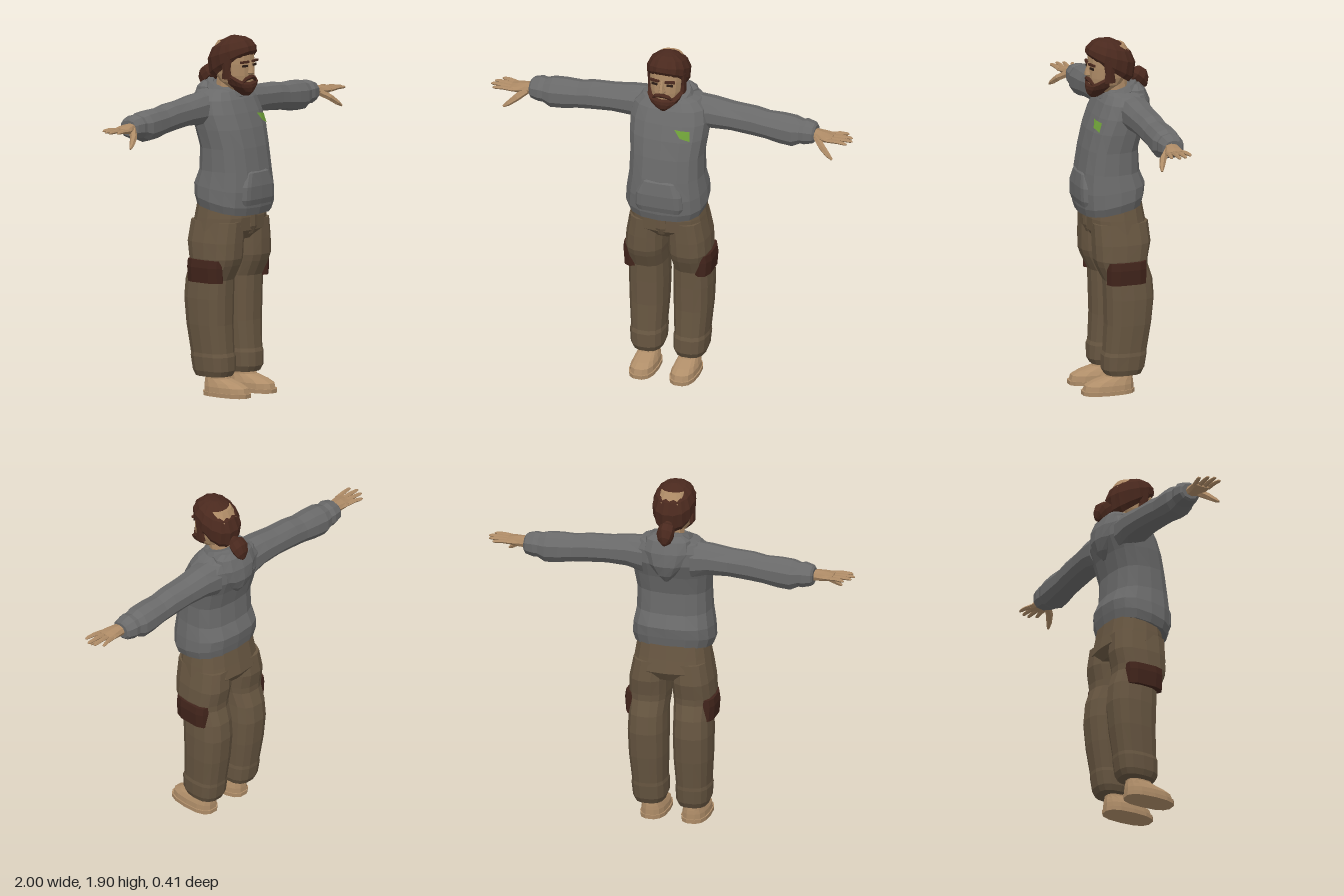
import * as THREE from 'three';

const mat = (name, color) => {
  const m = new THREE.MeshStandardMaterial({ color });
  m.name = name;
  return m;
};

// Closed ring of points: centre c, half-axes u and v, n corners, p = boxiness, ridge = alternating bulge
function ring(c, u, v, n = 16, p = 2.6, ridge = 0) {
  const pw = (k) => Math.sign(k) * Math.pow(Math.abs(k), 2 / p);
  return Array.from({ length: n }, (_, i) => {
    const t = (i / n) * Math.PI * 2;
    const k = 1 + (i % 2 ? -ridge : ridge);
    const a = pw(Math.cos(t)) * k, b = pw(Math.sin(t)) * k;
    return [0, 1, 2].map((j) => c[j] + a * u[j] + b * v[j]);
  });
}

// Horizontal ring given by its front and back z; dy lifts the front and lowers the back
const level = (y, cx, rx, zf, zb, dy = 0, n = 16, p = 2.6, ridge = 0) =>
  ring([cx, y, (zf + zb) / 2], [rx, 0, 0], [0, dy, (zf - zb) / 2], n, p, ridge);

// Faceted, capped skin over rings; side = -1 mirrors it to the other half
function loft(rings, side = 1) {
  const tris = [];
  const n = rings[0].length;
  const mid = (r) => [0, 1, 2].map((j) => r.reduce((s, q) => s + q[j], 0) / r.length);
  const first = rings[0], last = rings[rings.length - 1];
  const c0 = mid(first), c1 = mid(last);
  for (let i = 0; i < n; i++) {
    const k = (i + 1) % n;
    for (let r = 0; r + 1 < rings.length; r++) {
      const a = rings[r][i], b = rings[r][k], c = rings[r + 1][k], d = rings[r + 1][i];
      tris.push([a, b, c], [a, c, d]);
    }
    tris.push([c0, first[k], first[i]], [c1, last[i], last[k]]);
  }
  const pts = tris.map((t) => t.map((q) => new THREE.Vector3(q[0] * side, q[1], q[2])));
  const origin = new THREE.Vector3(c0[0] * side, c0[1], c0[2]);
  let volume = 0;
  for (const [a, b, c] of pts) {
    volume += a.clone().sub(origin).dot(b.clone().sub(origin).cross(c.clone().sub(origin)));
  }
  if (volume < 0) pts.forEach((t) => t.reverse());
  const g = new THREE.BufferGeometry().setFromPoints(pts.flat());
  g.computeVertexNormals();
  return g;
}

// Tapered limb through points [x, y, z, radius]
function limb(path, n = 6, flat = 1) {
  return path.map((q, i) => {
    const a = path[Math.max(i - 1, 0)], b = path[Math.min(i + 1, path.length - 1)];
    const d = new THREE.Vector3(b[0] - a[0], b[1] - a[1], b[2] - a[2]).normalize();
    const up = Math.abs(d.y) > 0.9 ? new THREE.Vector3(1, 0, 0) : new THREE.Vector3(0, 1, 0);
    const u = d.clone().cross(up).normalize();
    const v = u.clone().cross(d).multiplyScalar(q[3] * flat);
    return ring(q.slice(0, 3), u.multiplyScalar(q[3]).toArray(), v.toArray(), n, 2);
  });
}

export function createModel() {
  const grey = mat('hoodie grey', 0x6a6a6a);
  const brown = mat('trouser brown', 0x675641);
  const leather = mat('pocket brown', 0x41241b);
  const hair = mat('hair brown', 0x4a291e);
  const skin = mat('skin', 0xae8b66);
  const tan = mat('shoe tan', 0xb08e69);
  const green = mat('badge green', 0x6ea038);
  const dark = mat('eye dark', 0x2b1c15);

  const model = new THREE.Group();
  model.name = 'standingMan';
  const add = (name, geometry, material, parent = model) => {
    const m = new THREE.Mesh(geometry, material);
    m.name = name;
    parent.add(m);
    return m;
  };
  const flat = (g) => {
    const f = g.index ? g.toNonIndexed() : g;
    f.computeVertexNormals();
    return f;
  };

  // Hoodie body: y, half width, front z, back z, hem tilt
  add('hoodieBody', loft([
    [0.995, 0.205, 0.18, -0.145, -0.03], [1.04, 0.22, 0.192, -0.155, -0.035],
    [1.11, 0.215, 0.197, -0.162, -0.02], [1.2, 0.2, 0.185, -0.132, 0],
    [1.32, 0.198, 0.165, -0.125, 0], [1.42, 0.21, 0.14, -0.15, 0],
    [1.5, 0.215, 0.11, -0.18, 0], [1.57, 0.2, 0.078, -0.178, 0],
    [1.61, 0.16, 0.05, -0.165, 0], [1.63, 0.09, 0.03, -0.14, 0],
  ].map(([y, rx, f, b, dy]) => level(y, 0, rx, f, b, dy))), grey);

  // Belly pouch
  add('pouch', loft([
    [1.02, 0.125, 0.192], [1.05, 0.135, 0.201], [1.12, 0.13, 0.203], [1.19, 0.095, 0.192], [1.2, 0.09, 0.18],
  ].map(([y, rx, f]) => level(y, 0, rx, f, 0.05, 0, 16, 5))), grey);

  // Collar: a low-sided hoop, dropping towards the throat
  const collar = new THREE.TorusGeometry(0.088, 0.03, 6, 16);
  collar.rotateX(Math.PI / 2);
  const cp = collar.attributes.position;
  for (let i = 0; i < cp.count; i++) {
    cp.setXYZ(i, cp.getX(i), cp.getY(i) + 1.615 - cp.getZ(i) * 0.3, cp.getZ(i) * 0.92 - 0.035);
  }
  add('collar', flat(collar), grey);

  // Hood hanging down the back
  add('hood', loft([
    [1.655, 0.085, -0.09, -0.145], [1.63, 0.12, -0.05, -0.172], [1.57, 0.13, -0.04, -0.198],
    [1.5, 0.1, -0.05, -0.205], [1.44, 0.055, -0.06, -0.185], [1.4, 0.015, -0.08, -0.155],
  ].map(([y, rx, f, b]) => level(y, 0, rx, f, b, 0, 12, 2.4))), grey);

  // Chest badge, folded over the chest
  const [A, M, B, C, N] = [[0.065, 1.49, 0.118], [0.1, 1.485, 0.116], [0.145, 1.48, 0.101],
    [0.15, 1.43, 0.117], [0.1, 1.447, 0.131]].map((q) => new THREE.Vector3(...q));
  add('chestBadge', flat(new THREE.BufferGeometry().setFromPoints([A, N, M, M, N, B, N, C, B])), green);

  // Hips
  add('hips', loft([
    [1.06, 0.185, 0.13, -0.14], [0.95, 0.203, 0.15, -0.16], [0.88, 0.213, 0.147, -0.174], [0.83, 0.17, 0.1, -0.14],
  ].map(([y, rx, f, b]) => level(y, 0, rx, f, b))), brown);
  add('fly', loft([
    [0.98, 0.03, 0.158], [0.9, 0.032, 0.157], [0.86, 0.02, 0.14],
  ].map(([y, rx, f]) => level(y, 0, rx, f, 0.05, 0, 8, 5))), brown);

  for (const s of [1, -1]) {
    const tag = s > 0 ? 'left' : 'right';

    // Sleeve and cuff: x, y, half height, half depth
    const sleeve = (rows) => loft(rows.map(([x, y, ry, rz]) =>
      ring([x, y, -0.075], [0, ry, 0], [0, 0, rz], 10, 2.3)), s);
    add(tag + 'Sleeve', sleeve([
      [0.13, 1.515, 0.1, 0.09], [0.22, 1.525, 0.083, 0.086], [0.33, 1.52, 0.073, 0.08],
      [0.45, 1.512, 0.076, 0.076], [0.52, 1.502, 0.073, 0.074], [0.6, 1.495, 0.081, 0.079],
      [0.67, 1.49, 0.081, 0.08], [0.72, 1.495, 0.06, 0.064],
    ]), grey);
    add(tag + 'Cuff', sleeve([
      [0.7, 1.495, 0.062, 0.066], [0.735, 1.497, 0.066, 0.071], [0.78, 1.497, 0.054, 0.06], [0.79, 1.497, 0.042, 0.048],
    ]), grey);

    // Hand with four fingers and a thumb
    const hand = new THREE.Group();
    hand.name = tag + 'Hand';
    model.add(hand);
    add('palm', loft([
      [0.76, 0.028, 0.034, -0.068], [0.81, 0.027, 0.04, -0.06], [0.855, 0.021, 0.05, -0.055], [0.89, 0.013, 0.05, -0.053],
    ].map(([x, ry, rz, z]) => ring([x, 1.497, z], [0, ry, 0], [0, 0, rz], 8, 2.5)), s), skin, hand);
    [[-0.093, 0.96, -0.112], [-0.067, 0.99, -0.075], [-0.04, 1.0, -0.04], [-0.014, 0.98, -0.002]].forEach(([z, tx, tz]) =>
      add('finger', loft(limb([[0.87, 1.497, z, 0.014], [(0.87 + tx) / 2, 1.502, (z + tz) / 2, 0.013],
        [tx - 0.012, 1.5, tz, 0.01], [tx, 1.498, tz, 0.004]], 6, 0.8), s), skin, hand));
    add('thumb', loft(limb([[0.805, 1.49, -0.035, 0.02], [0.845, 1.462, 0.002, 0.019],
      [0.885, 1.43, 0.022, 0.014], [0.91, 1.412, 0.03, 0.006]]), s), skin, hand);

    // Trouser leg: y, centre x, half width, front z, back z
    add(tag + 'Leg', loft([
      [0.93, 0.105, 0.098, 0.142, -0.16], [0.82, 0.116, 0.108, 0.14, -0.17], [0.735, 0.12, 0.109, 0.136, -0.153],
      [0.7, 0.12, 0.104, 0.124, -0.152], [0.62, 0.122, 0.1, 0.084, -0.178], [0.52, 0.123, 0.103, 0.08, -0.186],
      [0.38, 0.122, 0.1, 0.076, -0.172], [0.23, 0.12, 0.09, 0.084, -0.148], [0.21, 0.12, 0.094, 0.092, -0.148],
      [0.135, 0.118, 0.09, 0.092, -0.136], [0.105, 0.118, 0.078, 0.075, -0.12], [0.1, 0.118, 0.05, 0.045, -0.085],
    ].map(([y, cx, rx, f, b]) => level(y, cx, rx, f, b, 0, 14)), s), brown);

    // Cargo pocket wrapped around the outer thigh
    const outline = [[0.15, 0.06], [0.195, 0.09], [0.226, 0.075], [0.243, 0.03], [0.243, -0.08], [0.226, -0.118], [0.18, -0.13]];
    add(tag + 'CargoPocket', loft([[0.61, -0.004], [0.69, 0.002], [0.73, -0.004]].map(([y, o]) =>
      outline.map(([x, z]) => [x + o, y, z]))), leather).scale.x = 1;
    if (s < 0) {
      model.children[model.children.length - 1].geometry = loft([[0.61, -0.004], [0.69, 0.002], [0.73, -0.004]].map(([y, o]) =>
        outline.map(([x, z]) => [x + o, y, z])), -1);
    }

    // Shoe and sole
    add(tag + 'Sole', loft([
      level(0, 0.112, 0.073, 0.2, -0.085, 0, 14), level(0.022, 0.112, 0.074, 0.202, -0.086, 0, 14),
    ], s), tan);
    add(tag + 'Shoe', loft([
      [0.02, 0.068, 0.193, -0.08], [0.05, 0.066, 0.185, -0.08], [0.07, 0.058, 0.145, -0.078],
      [0.092, 0.048, 0.07, -0.074], [0.14, 0.045, 0.045, -0.072],
    ].map(([y, rx, f, b]) => level(y, 0.112, rx, f, b, 0, 14)), s), tan);
  }

  // Head
  const head = new THREE.Group();
  head.name = 'head';
  model.add(head);
  add('neck', loft([level(1.55, 0, 0.065, 0.035, -0.1, 0, 10, 2), level(1.7, 0, 0.06, 0.05, -0.08, 0, 10, 2)]), skin, head);
  add('face', loft([
    [1.62, 0.045, 0.11, 0.01], [1.66, 0.075, 0.123, -0.05], [1.7, 0.086, 0.126, -0.08],
    [1.76, 0.092, 0.125, -0.1], [1.82, 0.092, 0.12, -0.1], [1.87, 0.065, 0.09, -0.07],
  ].map(([y, rx, f, b]) => level(y, 0, rx, f, b))), skin, head);
  add('nose', loft([
    [1.7, 0.014, 0.133], [1.712, 0.019, 0.15], [1.73, 0.014, 0.147], [1.775, 0.009, 0.13],
  ].map(([y, rx, f]) => level(y, 0, rx, f, 0.1, 0, 6, 2))), skin, head);

  // Combed-back hair with ridged strands: y, tilt, half width, front z, back z
  add('hair', loft([
    [1.735, 0.075, 0.092, 0.124, -0.09], [1.758, 0.072, 0.107, 0.137, -0.114], [1.81, 0.045, 0.11, 0.132, -0.125],
    [1.855, 0.028, 0.092, 0.105, -0.1], [1.885, 0.012, 0.058, 0.075, -0.05], [1.9, 0, 0.02, 0.04, 0],
  ].map(([y, dy, rx, f, b]) => level(y, 0, rx, f, b, dy, 28, 2.2, 0.022))), hair, head);
  add('ponytail', loft([
    [1.72, -0.09, 0.024], [1.708, -0.115, 0.026], [1.7, -0.135, 0.044], [1.675, -0.165, 0.047],
    [1.645, -0.185, 0.034], [1.625, -0.195, 0.01],
  ].map(([y, z, r]) => ring([0, y, z], [r, 0, 0], [0, r * 0.8, -r * 0.55], 10, 2, 0.05))), hair, head);

  // Beard, moustache and sideburns
  add('beard', loft([
    [1.59, 0, 0.016, 0.115, 0.075], [1.615, -0.004, 0.045, 0.134, 0.03], [1.65, -0.015, 0.08, 0.138, -0.005],
    [1.69, -0.038, 0.095, 0.135, 0], [1.7, -0.038, 0.084, 0.124, 0.01],
  ].map(([y, dy, rx, f, b]) => level(y, 0, rx, f, b, dy, 16, 2.5, 0.015))), hair, head);
  add('moustache', loft(limb([[-0.055, 1.66, 0.114, 0.006], [-0.035, 1.682, 0.124, 0.011], [0, 1.691, 0.13, 0.013],
    [0.035, 1.682, 0.124, 0.011], [0.055, 1.66, 0.114, 0.006]])), hair, head);
  for (const s of [1, -1]) {
    add('sideburn', loft([
      [1.68, 0.088, 0.014, 0.07, 0.005], [1.73, 0.09, 0.013, 0.062, 0.012], [1.8, 0.092, 0.014, 0.075, -0.02],
    ].map(([y, cx, rx, f, b]) => level(y, cx, rx, f, b, 0, 8)), s), hair, head);
    const eye = add('eye', flat(new THREE.BoxGeometry(0.034, 0.011, 0.008)), dark, head);
    eye.position.set(s * 0.042, 1.751, 0.121);
    eye.rotation.y = s * 0.2;
    const brow = add('eyebrow', flat(new THREE.BoxGeometry(0.054, 0.011, 0.014)), hair, head);
    brow.position.set(s * 0.043, 1.772, 0.122);
    brow.rotation.y = s * 0.2;
  }
  return model;
}
